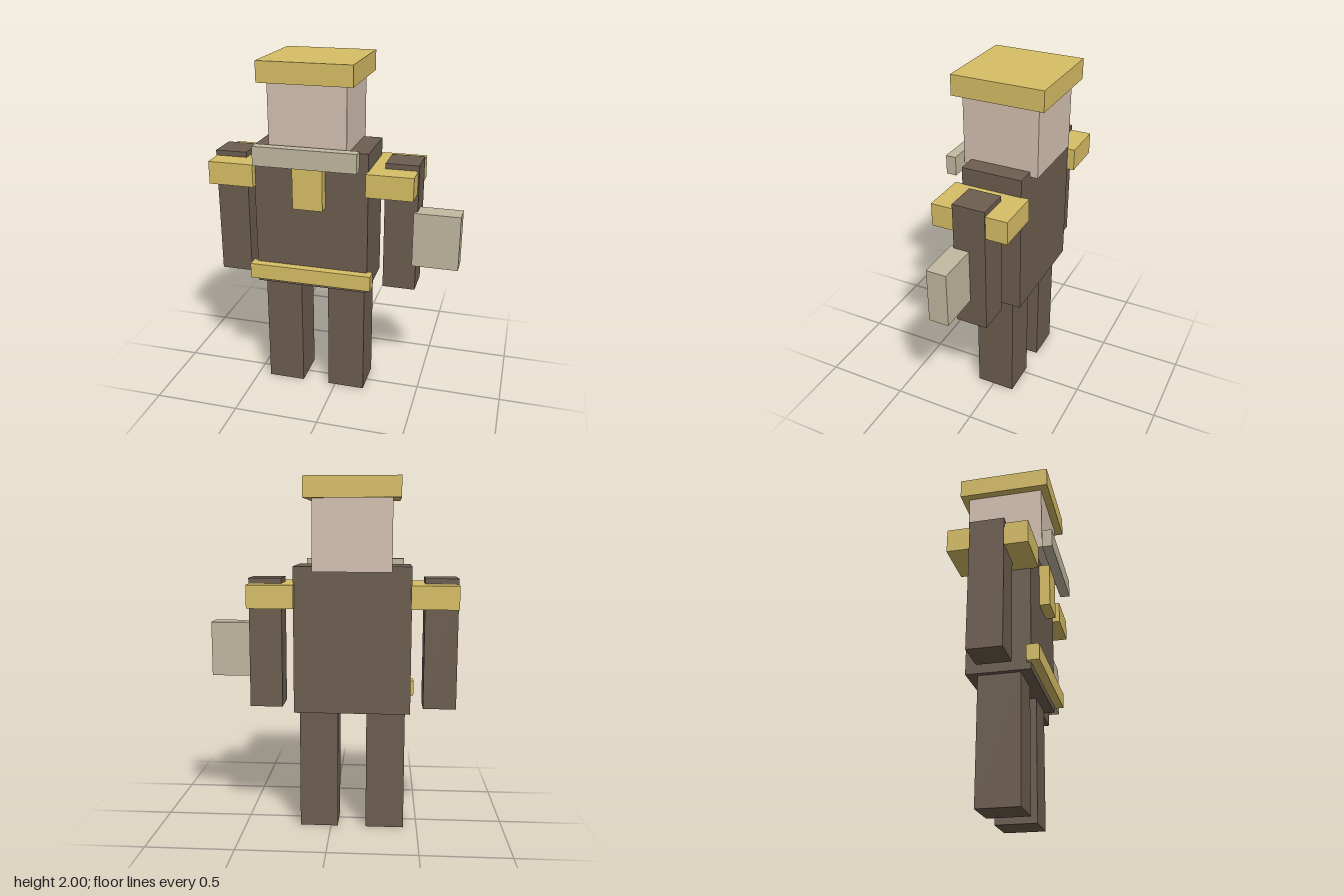
import * as THREE from 'three';

const material = (color) => new THREE.MeshStandardMaterial({ color, flatShading: true });

export function createModel() {
  const model = new THREE.Group();
  const cloth = material(0x6d5e50);
  const gold = material(0xd8bf65);
  const skin = material(0xd6c2b2);
  const stone = material(0xc2b9a0);

  // The body's own middle line; the held block shifts it off x = 0
  const figure = new THREE.Group();
  figure.name = 'figure';
  figure.position.set(-0.122, 0, -0.013);
  model.add(figure);

  // A box given by its size and centre
  function block(name, mat, [w, h, d], [x, y, z]) {
    const mesh = new THREE.Mesh(new THREE.BoxGeometry(w, h, d), mat);
    mesh.name = name;
    mesh.position.set(x, y, z);
    figure.add(mesh);
  }

  // Body and head
  block('torso', cloth, [0.656, 0.826, 0.35], [0, 1.107, 0]);
  block('head', skin, [0.437, 0.437, 0.437], [0, 1.71, 0]);
  block('hat', gold, [0.525, 0.114, 0.525], [0, 1.943, 0]);

  // Trim on the chest and waist
  block('collar', stone, [0.582, 0.108, 0.058], [0, 1.495, 0.262]);
  block('chestPanel', gold, [0.172, 0.26, 0.06], [0, 1.32, 0.205]);
  block('belt', gold, [0.715, 0.09, 0.068], [0, 0.775, 0.19]);

  // Limbs and shoulder pads, mirrored
  for (const [side, s] of [['left', 1], ['right', -1]]) {
    block(side + 'Leg', cloth, [0.219, 0.694, 0.232], [s * 0.191, 0.347, 0]);
    block(side + 'Arm', cloth, [0.187, 0.742, 0.187], [s * 0.497, 1.08, -0.002]);
    block(side + 'ShoulderPad', gold, [0.262, 0.131, 0.437], [s * 0.453, 1.355, 0]);
  }

  // Block held at the left arm
  block('heldBlock', stone, [0.26, 0.317, 0.115], [0.702, 1.028, 0.058]);

  return model;
}
